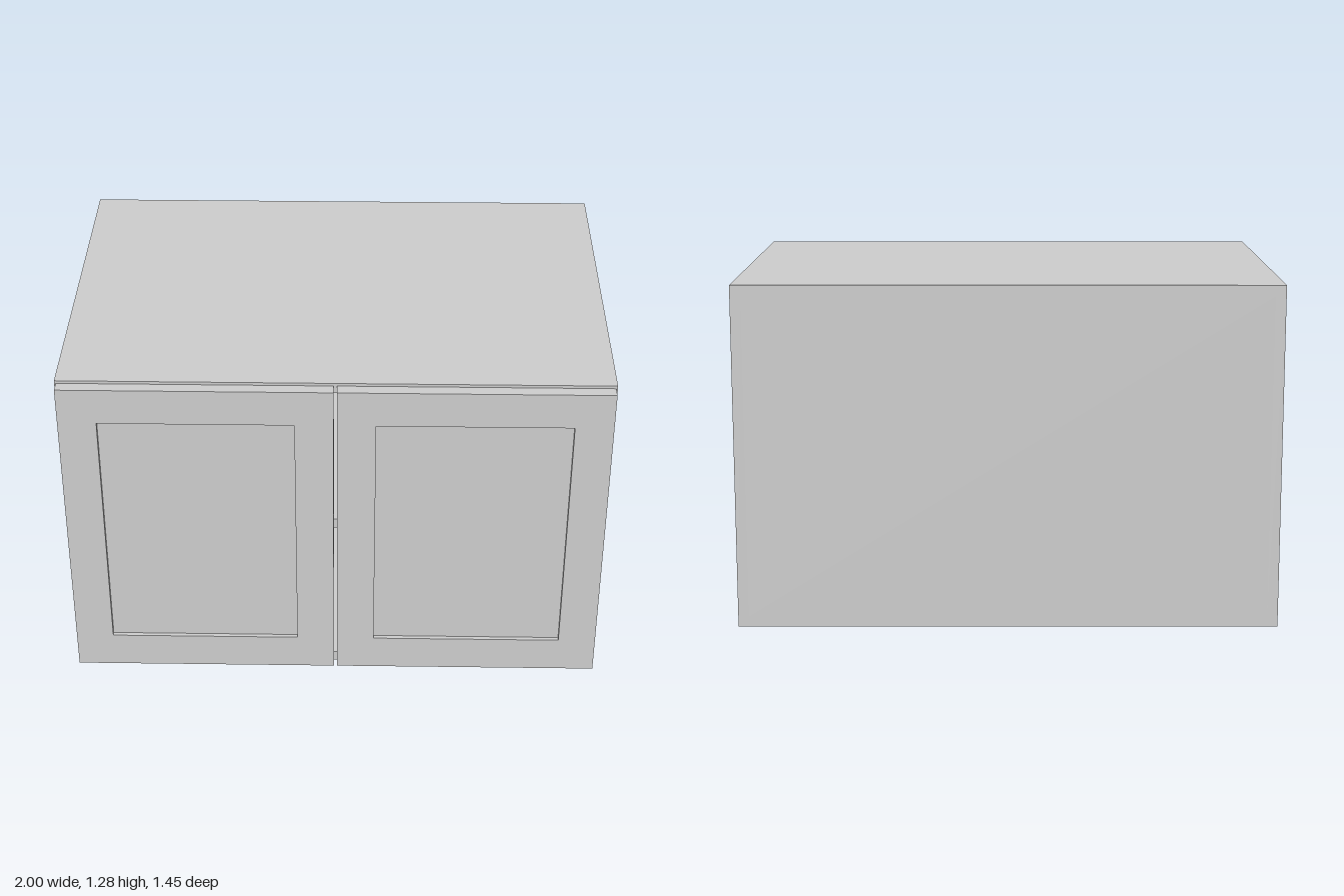
import * as THREE from 'three';

const W = 2, H = 1.276, T = 0.04;          // carcass width, height, board thickness
const BACK = -0.723, FRONT = 0.675;        // carcass depth range
const DOOR_BACK = 0.678, DOOR_FRONT = 0.723;

const material = new THREE.MeshStandardMaterial({ color: 0xcccccc });

// Box given by its two opposite corners
function board(name, [x0, y0, z0], [x1, y1, z1]) {
  const geometry = new THREE.BoxGeometry(x1 - x0, y1 - y0, z1 - z0);
  geometry.translate((x0 + x1) / 2, (y0 + y1) / 2, (z0 + z1) / 2);
  const mesh = new THREE.Mesh(geometry, material);
  mesh.name = name;
  return mesh;
}

function rectangle(PathType, x0, y0, x1, y1) {
  return new PathType([[x0, y0], [x1, y0], [x1, y1], [x0, y1]].map(p => new THREE.Vector2(...p)));
}

// Framed door with a recessed centre panel
function createDoor(name, side) {
  const door = new THREE.Group();
  door.name = name;
  const [x0, x1] = side > 0 ? [0.006, 0.994] : [-0.994, -0.006];
  const [y0, y1] = [0.01, 1.267];
  const rail = 0.14;

  const outline = rectangle(THREE.Shape, x0, y0, x1, y1);
  outline.holes.push(rectangle(THREE.Path, x0 + rail, y0 + rail, x1 - rail, y1 - rail));
  const frame = new THREE.Mesh(
    new THREE.ExtrudeGeometry(outline, { depth: DOOR_FRONT - DOOR_BACK, bevelEnabled: false }),
    material
  );
  frame.position.z = DOOR_BACK;
  frame.name = 'doorFrame';

  const panel = board('doorPanel',
    [x0 + rail, y0 + rail, DOOR_BACK + 0.012],
    [x1 - rail, y1 - rail, DOOR_FRONT - 0.016]);
  door.add(frame, panel);
  return door;
}

export function createModel() {
  const cabinet = new THREE.Group();
  cabinet.name = 'wallCabinet';
  const half = W / 2, inner = half - T;

  // Carcass
  cabinet.add(
    board('leftSide', [inner, 0, BACK], [half, H, FRONT]),
    board('rightSide', [-half, 0, BACK], [-inner, H, FRONT]),
    board('bottomBoard', [-inner, 0, BACK], [inner, T, FRONT]),
    board('topBoard', [-inner, H - T, BACK], [inner, H, FRONT]),
    board('backBoard', [-inner, T, BACK], [inner, H - T, BACK + T]),
    board('shelf', [-inner, H / 2 - T / 2, BACK + T], [inner, H / 2 + T / 2, FRONT - 0.03])
  );

  // Doors
  cabinet.add(createDoor('leftDoor', 1), createDoor('rightDoor', -1));
  return cabinet;
}
